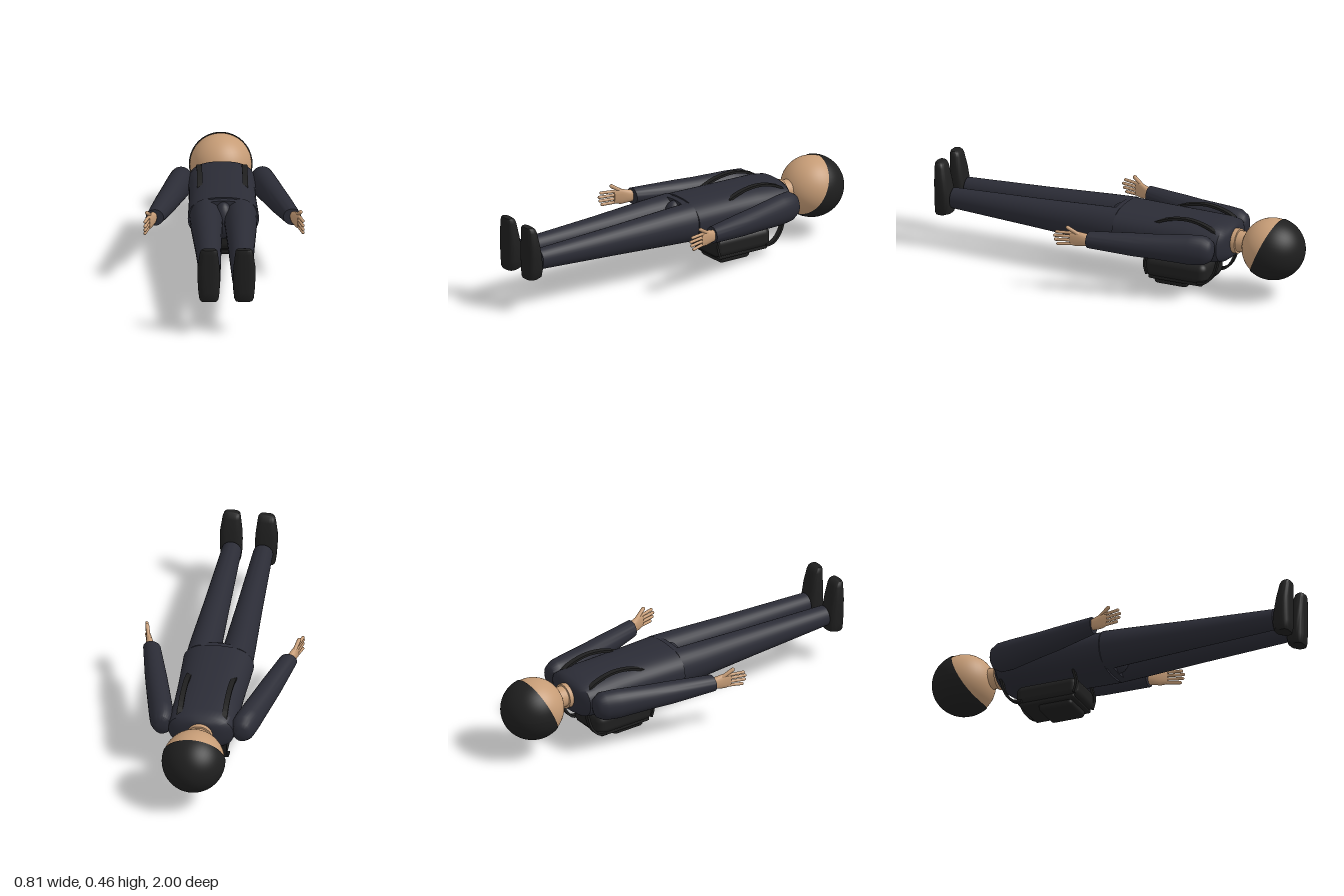
import * as THREE from 'three';
import { toCreasedNormals } from 'three/addons/utils/BufferGeometryUtils.js';
import { RoundedBoxGeometry } from 'three/addons/geometries/RoundedBoxGeometry.js';

const skin = new THREE.MeshStandardMaterial({ color: 0xc69c76 });
skin.name = 'skin';
const suit = new THREE.MeshStandardMaterial({ color: 0x2b2c36 });
suit.name = 'dark navy cloth';
const black = new THREE.MeshStandardMaterial({ color: 0x1f1f1f });
black.name = 'black';
black.side = THREE.DoubleSide;

// Closed body along z from sections [z, cx, cy, rx, ry]; power 2 is an ellipse, higher is boxier
function loft(sections, power = 2, sides = 32) {
  const pos = [], index = [];
  for (const [z, cx, cy, rx, ry] of sections) {
    for (let j = 0; j < sides; j++) {
      const a = (j / sides) * Math.PI * 2, c = Math.cos(a), s = Math.sin(a);
      pos.push(cx + rx * Math.sign(c) * Math.abs(c) ** (2 / power),
        cy + ry * Math.sign(s) * Math.abs(s) ** (2 / power), z);
    }
  }
  const last = sections.length - 1;
  for (let i = 0; i < last; i++) {
    for (let j = 0; j < sides; j++) {
      const k = (j + 1) % sides, a = i * sides, b = a + sides;
      index.push(a + j, a + k, b + k, a + j, b + k, b + j);
    }
  }
  for (let j = 1; j < sides - 1; j++) {
    index.push(0, j + 1, j, last * sides, last * sides + j, last * sides + j + 1);
  }
  const g = new THREE.BufferGeometry();
  g.setAttribute('position', new THREE.Float32BufferAttribute(pos, 3));
  g.setIndex(index);
  return toCreasedNormals(g, 0.7);
}

// Capsule between two points
function capsule(a, b, r) {
  const p = new THREE.Vector3(...a), q = new THREE.Vector3(...b), d = q.clone().sub(p);
  const g = new THREE.CapsuleGeometry(r, d.length(), 5, 12);
  g.applyQuaternion(new THREE.Quaternion().setFromUnitVectors(new THREE.Vector3(0, 1, 0), d.normalize()));
  return g.translate(...p.add(q).multiplyScalar(0.5).toArray());
}

// Flat webbing of constant width following [z, y] points
function ribbon(points, x, width, half = 0.006) {
  const curve = new THREE.SplineCurve(points.map(p => new THREE.Vector2(...p)));
  const upper = [], lower = [];
  for (let i = 0; i <= 32; i++) {
    const p = curve.getPoint(i / 32), t = curve.getTangent(i / 32);
    upper.push(new THREE.Vector2(p.x - t.y * half, p.y + t.x * half));
    lower.unshift(new THREE.Vector2(p.x + t.y * half, p.y - t.x * half));
  }
  const g = new THREE.ExtrudeGeometry(new THREE.Shape([...upper, ...lower]), { depth: width, bevelEnabled: false });
  return g.rotateY(-Math.PI / 2).translate(x + width / 2, 0, 0);
}

export function createModel() {
  const model = new THREE.Group();
  model.name = 'lyingFigure';
  const add = (name, geometry, material) => {
    const m = new THREE.Mesh(geometry, material);
    m.name = name;
    model.add(m);
    return m;
  };

  // Head and neck
  add('head', new THREE.SphereGeometry(0.156, 40, 28), skin).position.set(0, 0.262, -0.832);
  add('neck', new THREE.CylinderGeometry(0.054, 0.054, 0.12, 28).rotateX(Math.PI / 2), skin).position.set(0, 0.27, -0.66);
  add('neckBase', new THREE.CylinderGeometry(0.064, 0.064, 0.03, 28).rotateX(Math.PI / 2), skin).position.set(0, 0.27, -0.633);

  // Cap: dome whose rim sits high on the forehead and low on the nape
  const dome = new THREE.SphereGeometry(1, 48, 18, 0, Math.PI * 2, 0, Math.PI / 2);
  const p = dome.attributes.position;
  for (let i = 0; i < p.count; i++) {
    const x = p.getX(i), z = p.getZ(i), flat = Math.hypot(x, z);
    const s = flat > 1e-5 ? z / flat : 0;
    const limit = THREE.MathUtils.degToRad(99 - 26 * s + 4 * s * s);
    const t = Math.acos(Math.min(1, p.getY(i))) / (Math.PI / 2) * limit;
    const k = flat > 1e-5 ? Math.sin(t) / flat : 0;
    p.setXYZ(i, x * k, Math.cos(t), z * k);
  }
  dome.rotateX(-Math.PI / 2).scale(0.16, 0.16, 0.165);
  dome.computeVertexNormals();
  add('cap', dome, black).position.set(0, 0.262, -0.835);

  // Jacket body and hips
  add('jacket', loft([
    [-0.625, 0, 0.267, 0.07, 0.065], [-0.617, 0, 0.267, 0.125, 0.08], [-0.595, 0, 0.266, 0.165, 0.095],
    [-0.54, 0, 0.265, 0.174, 0.104], [-0.4, 0, 0.265, 0.168, 0.108], [-0.25, 0, 0.265, 0.17, 0.109],
    [-0.02, 0, 0.265, 0.179, 0.11],
  ], 2.4, 48), suit);
  add('hips', loft([[-0.04, 0, 0.267, 0.171, 0.102], [0.012, 0, 0.267, 0.168, 0.1]], 2.3, 48), suit);
  add('crotch', new THREE.SphereGeometry(1, 24, 16).scale(0.05, 0.096, 0.055), suit).position.set(0, 0.267, 0.015);

  for (const s of [1, -1]) {
    const side = s > 0 ? 'left' : 'right';

    // Trouser leg
    add(side + 'Leg', loft([
      [-0.02, s * 0.086, 0.267, 0.085, 0.1], [0.12, s * 0.086, 0.267, 0.08, 0.093],
      [0.45, s * 0.083, 0.266, 0.066, 0.075], [0.91, s * 0.08, 0.266, 0.05, 0.053],
    ]), suit);

    // Shoe, lofted from heel to toe; the upper gets lower towards the toe
    add(side + 'Shoe', loft([
      [0.18, s * 0.088, -0.965, 0.042, 0.028], [0.19, s * 0.088, -0.955, 0.049, 0.043],
      [0.23, s * 0.088, -0.953, 0.054, 0.047], [0.3, s * 0.089, -0.958, 0.057, 0.042],
      [0.36, s * 0.09, -0.964, 0.055, 0.036], [0.43, s * 0.089, -0.972, 0.046, 0.028],
      [0.448, s * 0.088, -0.976, 0.042, 0.024], [0.456, s * 0.087, -0.98, 0.035, 0.018],
    ], 3).rotateX(-Math.PI / 2), black);

    // Sleeve
    add(side + 'Sleeve', loft([
      [-0.595, s * 0.205, 0.275, 0.025, 0.03], [-0.585, s * 0.204, 0.275, 0.045, 0.055],
      [-0.55, s * 0.205, 0.274, 0.062, 0.076], [-0.48, s * 0.22, 0.272, 0.064, 0.078],
      [-0.3, s * 0.265, 0.275, 0.06, 0.064], [-0.2, s * 0.29, 0.277, 0.057, 0.06],
      [0.025, s * 0.346, 0.285, 0.045, 0.043],
    ]), suit);

    // Hand with four fingers and a thumb
    add(side + 'Palm', loft([
      [0.0, s * 0.35, 0.285, 0.02, 0.025], [0.04, s * 0.358, 0.286, 0.021, 0.032],
      [0.08, s * 0.369, 0.288, 0.015, 0.04], [0.115, s * 0.379, 0.289, 0.009, 0.036],
    ], 2.4, 20), skin);
    [0.175, 0.188, 0.192, 0.182].forEach((tip, k) => {
      add(side + 'Finger' + (k + 1),
        capsule([s * 0.376, 0.261 + k * 0.019, 0.1], [s * 0.397, 0.256 + k * 0.021, tip], 0.008), skin);
    });
    add(side + 'Thumb', capsule([s * 0.366, 0.306, 0.06], [s * 0.386, 0.347, 0.125], 0.01), skin);

    // Backpack straps: over the shoulder and back under the arm
    add(side + 'ShoulderStrap', ribbon([
      [-0.47, 0.055], [-0.515, 0.065], [-0.555, 0.11], [-0.578, 0.18], [-0.588, 0.27],
      [-0.56, 0.345], [-0.44, 0.384], [-0.32, 0.374], [-0.22, 0.335],
    ], s * 0.114, 0.027), black);
    add(side + 'LowerStrap', ribbon([[-0.2, 0.24], [-0.185, 0.17], [-0.172, 0.11], [-0.185, 0.055]], s * 0.109, 0.024), black);
  }

  // Backpack
  add('backpack', new RoundedBoxGeometry(0.236, 0.11, 0.34, 5, 0.038), black).position.set(0, 0.092, -0.338);
  add('backpackPocket', new RoundedBoxGeometry(0.18, 0.06, 0.185, 4, 0.02), black).position.set(0, 0.03, -0.302);
  add('backpackSeam', new RoundedBoxGeometry(0.218, 0.025, 0.3, 3, 0.01), black).position.set(0, 0.043, -0.338);

  return model;
}
